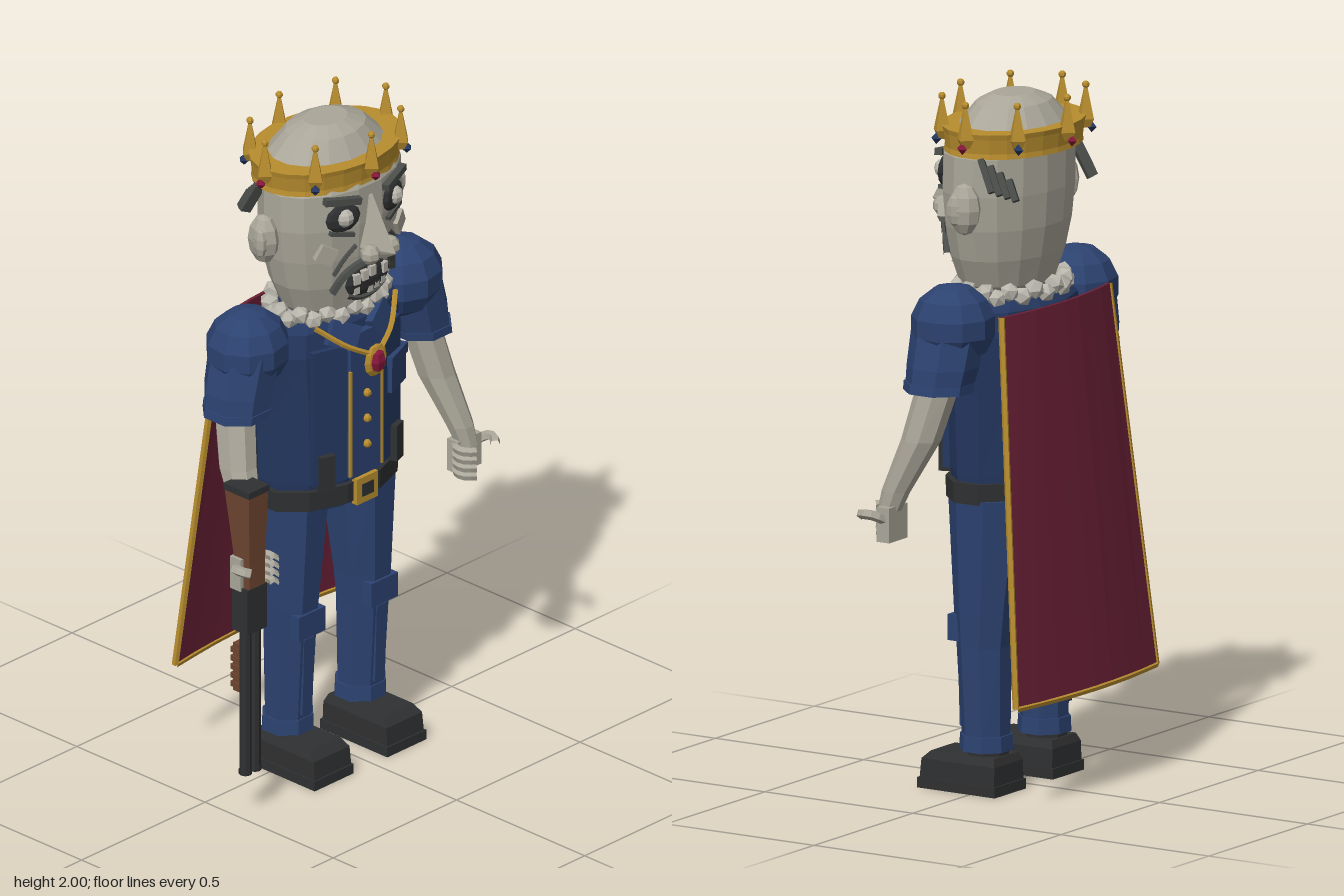
import * as THREE from 'three';

const mat = (name, color, extra = {}) => {
  const m = new THREE.MeshStandardMaterial({ color, flatShading: true, ...extra });
  m.name = name;
  return m;
};

// Rings [x, y, z, rx, rz] from bottom to top, closed at both ends
function loft(rings, n = 8, turn = Math.PI / n) {
  const first = rings[0], last = rings[rings.length - 1];
  const all = [[...first.slice(0, 3), 0, 0], ...rings, [...last.slice(0, 3), 0, 0]];
  const pos = [], idx = [];
  all.forEach(([x, y, z, rx, rz], r) => {
    for (let i = 0; i < n; i++) {
      const a = (i / n) * Math.PI * 2 + turn;
      pos.push(x + Math.cos(a) * rx, y, z + Math.sin(a) * rz);
      if (r === all.length - 1) continue;
      const p0 = r * n + i, p1 = r * n + (i + 1) % n;
      if (r > 0) idx.push(p0, p0 + n, p1);
      if (r === 0) idx.push(p0 + n, p1 + n, p1);
      else if (r < all.length - 2) idx.push(p0 + n, p1 + n, p1);
    }
  });
  const g = new THREE.BufferGeometry();
  g.setAttribute('position', new THREE.Float32BufferAttribute(pos, 3));
  g.setIndex(idx);
  const flat = g.toNonIndexed();
  flat.computeVertexNormals();
  return flat;
}

const box = (w, h, d) => new THREE.BoxGeometry(w, h, d);
const ball = (r, w = 8, h = 6) => new THREE.SphereGeometry(r, w, h);
const tube = (pts, r, seg = 8, sides = 5) => new THREE.TubeGeometry(
  new THREE.CatmullRomCurve3(pts.map(p => new THREE.Vector3(...p))), seg, r, sides);

export function createModel() {
  const root = new THREE.Group();
  root.name = 'crownedFigure';
  const skin = mat('paleSkin', 0xaaa699), bone = mat('bone', 0xb9b6ac);
  const blue = mat('blueCloth', 0x2c4270), navy = mat('navyCloth', 0x243760);
  const gold = mat('gold', 0xb88d2e), crimson = mat('crimsonCloth', 0x6a2036, { side: THREE.DoubleSide });
  const ruby = mat('ruby', 0x86163a), dark = mat('darkMetalAndLeather', 0x2f3031);
  const wood = mat('wood', 0x6d4530), hair = mat('greyHair', 0x4a4d4a);

  const body = new THREE.Group();
  body.name = 'body';
  body.position.x = -0.012;
  root.add(body);
  const add = (name, geo, m, p = [0, 0, 0], rot = [0, 0, 0], s = [1, 1, 1]) => {
    const mesh = new THREE.Mesh(geo, m);
    mesh.name = name;
    mesh.position.set(...p);
    mesh.rotation.set(...rot);
    mesh.scale.set(...s);
    body.add(mesh);
    return mesh;
  };

  // Head
  const headRings = [
    [0, 1.415, 0.02, 0.13, 0.1], [0, 1.45, 0.022, 0.17, 0.12], [0, 1.53, 0.02, 0.205, 0.142],
    [0, 1.62, 0.018, 0.226, 0.157], [0, 1.72, 0.017, 0.238, 0.164], [0, 1.83, 0.015, 0.236, 0.163],
    [0, 1.905, 0, 0.188, 0.14], [0, 1.962, 0, 0.13, 0.098], [0, 1.985, 0, 0.07, 0.055]];
  add('head', loft(headRings, 16), skin);
  add('neck', loft([[0, 1.36, 0, 0.12, 0.09], [0, 1.44, 0.01, 0.12, 0.09]], 10), skin);
  // Front depth of the face at a given place
  const faceZ = (x, y) => {
    const i = Math.max(1, headRings.findIndex(r => r[1] >= y));
    const a = headRings[i - 1], b = headRings[i], t = (y - a[1]) / (b[1] - a[1]);
    const [cz, rx, rz] = [2, 3, 4].map(k => a[k] + (b[k] - a[k]) * t);
    return cz + rz * Math.sqrt(Math.max(0, 1 - (x / rx) ** 2));
  };
  const onFace = (name, geo, m, x, y, out = 0, tilt = 0, s) =>
    add(name, geo, m, [x, y, faceZ(x, y) + out], [0, x * 3, tilt], s);

  // Face
  add('nose', loft([[0, 1.615, 0.17, 0.03, 0.06], [0, 1.645, 0.17, 0.042, 0.105],
    [0, 1.80, 0.165, 0.014, 0.02]], 4, 0), skin);
  onFace('mouth', ball(1, 10, 6), dark, 0, 1.535, 0, 0, [0.09, 0.05, 0.018]);
  for (let i = -2; i <= 2; i++) {
    if (i !== 1) onFace('upperTooth', box(0.021, 0.03, 0.014), bone, i * 0.028, 1.563 - Math.abs(i) * 0.006, 0.015);
    if (i !== -1) onFace('lowerTooth', box(0.02, 0.022, 0.014), bone, i * 0.026, 1.505 + Math.abs(i) * 0.004, 0.015);
  }
  const arc = pts => pts.map(([x, y]) => [x, y, faceZ(x, y) + 0.012]);
  add('moustache', tube(arc([[-0.12, 1.52], [-0.09, 1.575], [-0.035, 1.6], [0, 1.592],
    [0.035, 1.6], [0.09, 1.575], [0.12, 1.52]]), 0.013, 16), hair);
  add('lowerLip', tube(arc([[-0.075, 1.5], [-0.03, 1.483], [0.03, 1.483], [0.075, 1.5]]), 0.01), hair);
  for (const s of [1, -1]) {
    onFace('eyeSocket', ball(1, 10, 6), dark, s * 0.1, 1.757, 0, 0, [0.056, 0.044, 0.016]);
    onFace('eye', ball(0.028, 8, 6), bone, s * 0.1, 1.76, 0.006);
    onFace('brow', box(0.115, 0.02, 0.022), hair, s * 0.105, 1.812, 0.006, s * 0.16);
    onFace('eyeBag', box(0.08, 0.012, 0.014), hair, s * 0.105, 1.708, 0.002, s * 0.25);
    onFace('nostril', ball(0.03, 7, 5), skin, s * 0.04, 1.637, 0.04);
    onFace('cheek', box(0.055, 0.05, 0.025), skin, s * 0.145, 1.65, 0, s * 0.5);
    add('cheekFold', tube(arc([[s * 0.065, 1.665], [s * 0.1, 1.63], [s * 0.125, 1.58]]), 0.007), hair);
    add('ear', ball(1, 8, 6), skin, [s * 0.25, 1.69, 0], [0, 0, 0], [0.04, 0.075, 0.05]);
    add('innerEar', ball(1, 6, 5), skin, [s * 0.28, 1.69, 0.015], [0, 0, 0], [0.015, 0.045, 0.025]);
    for (let i = 0; i < 4; i++) {
      add('sideHair', box(0.03, 0.1 - i * 0.012, 0.018), hair,
        [s * (0.232 - i * 0.014), 1.79 - i * 0.014, -0.062 - i * 0.02], [0.4, s * 0.5, s * 0.15]);
    }
  }

  // Crown
  add('crownBand', loft([[0, 1.835, 0, 0.243, 0.173], [0, 1.85, 0, 0.24, 0.171], [0, 1.892, 0, 0.246, 0.176],
    [0, 1.907, 0, 0.25, 0.18]], 24), gold);
  for (let i = 0; i < 8; i++) {
    const a = (i * Math.PI) / 4, x = Math.sin(a) * 0.245, z = Math.cos(a) * 0.18;
    add('crownSpike', loft([[x, 1.865, z, 0.014, 0.014], [x, 1.89, z, 0.028, 0.028], [x, 1.98, z, 0.006, 0.006]], 4, 0), gold);
    add('crownBead', ball(0.011, 6, 5), gold, [x, 1.988, z]);
    add('crownJewel', new THREE.OctahedronGeometry(0.017), i % 2 ? navy : ruby, [x * 1.07, 1.866, z * 1.09]);
  }

  // Torso and ruff
  add('torso', loft([[0, 0.82, -0.005, 0.23, 0.13], [0, 0.92, 0, 0.24, 0.145], [0, 1.15, 0, 0.25, 0.15],
    [0, 1.32, 0, 0.265, 0.148], [0, 1.39, 0, 0.25, 0.138], [0, 1.425, 0, 0.18, 0.11]], 12), navy);
  for (let i = 0; i < 26; i++) {
    const a = (i / 26) * Math.PI * 2;
    add('ruffBead', new THREE.IcosahedronGeometry(0.029), bone,
      [Math.cos(a) * 0.19, 1.425 + (i % 2) * 0.016, 0.005 + Math.sin(a) * 0.128], [a, a * 2, 0]);
  }
  add('shirtFront', box(0.12, 0.45, 0.025), blue, [0, 1.14, 0.146]);
  for (const y of [1.17, 1.09, 1.01]) add('button', ball(0.013, 6, 5), gold, [0, y, 0.163]);
  for (const s of [1, -1]) {
    add('jacketPanel', box(0.11, 0.42, 0.022), navy, [s * 0.122, 1.13, 0.128], [0, s * 0.3, 0]);
    add('frontTrim', box(0.008, 0.33, 0.008), gold, [s * 0.063, 1.09, 0.158]);
    add('lapel', box(0.095, 0.075, 0.025), blue, [s * 0.075, 1.37, 0.14], [-0.25, s * 0.25, s * 0.5]);
    add('beltPouch', box(0.045, 0.11, 0.035), dark, [s * 0.14, 0.96, 0.135], [0, s * 0.35, 0]);
    add('backPouch', box(0.07, 0.13, 0.03), dark, [s * 0.12, 0.91, -0.135], [0, -s * 0.3, 0]);
    add('chain', tube([[s * 0.165, 1.415, 0.115], [s * 0.09, 1.35, 0.17], [s * 0.02, 1.31, 0.195]], 0.008), gold);
  }
  add('chestPocket', box(0.105, 0.095, 0.02), blue, [0.15, 1.175, 0.13], [0, 0.38, 0]);
  add('pocketFlap', box(0.115, 0.03, 0.028), blue, [0.15, 1.225, 0.13], [0, 0.38, 0]);
  add('pendantFrame', ball(1, 8, 6), gold, [0, 1.285, 0.196], [0, 0, 0], [0.045, 0.05, 0.014]);
  add('pendantJewel', ball(1, 6, 4), ruby, [0, 1.285, 0.206], [0, 0, 0], [0.028, 0.035, 0.018]);

  // Belt
  add('belt', loft([[0, 0.84, 0, 0.253, 0.155], [0, 0.9, 0, 0.255, 0.157]], 12), dark);
  add('buckle', box(0.085, 0.08, 0.02), gold, [0, 0.87, 0.155]);
  add('buckleCentre', box(0.045, 0.038, 0.008), dark, [0, 0.87, 0.164]);

  // Limbs
  for (const s of [1, -1]) {
    const lx = s * 0.147;
    add('trouserLeg', loft([[lx, 0.12, -0.005, 0.07, 0.068], [lx, 0.42, 0.002, 0.078, 0.08],
      [lx, 0.52, 0.0, 0.084, 0.09], [s * 0.136, 0.85, -0.01, 0.112, 0.122]]), blue);
    add('trouserCuff', loft([[lx, 0.12, -0.005, 0.08, 0.077], [lx, 0.165, -0.005, 0.077, 0.075]]), blue);
    add('kneePad', box(0.108, 0.075, 0.05), blue, [lx, 0.468, 0.065]);
    add('shinSeam', box(0.04, 0.24, 0.012), blue, [lx, 0.3, 0.069], [0.03, 0, 0]);
    add('ankle', loft([[lx, 0.08, -0.01, 0.06, 0.06], [lx, 0.13, -0.01, 0.06, 0.06]]), dark);
    add('shoeSole', box(0.158, 0.03, 0.262), dark, [lx, 0.015, 0.045]);
    add('shoe', loft([[lx, 0.03, 0.045, 0.105, 0.178], [lx, 0.085, 0.043, 0.102, 0.174],
      [lx, 0.108, 0.035, 0.086, 0.15]], 4), dark);

    add('puffShoulder', ball(0.127, 10, 7), blue, [s * 0.312, 1.37, -0.003], [0, 0.2, 0], [1, 0.95, 0.95]);
    add('sleeve', loft([[s * 0.368, 1.195, 0.008, 0.092, 0.098], [s * 0.355, 1.26, 0.003, 0.1, 0.105],
      [s * 0.325, 1.38, 0, 0.1, 0.11]]), blue);
    add('sleeveCuff', loft([[s * 0.37, 1.19, 0.008, 0.097, 0.103], [s * 0.366, 1.215, 0.008, 0.097, 0.103]]), blue);
    const dy = s < 0 ? -0.05 : 0;
    add('arm', loft([[s * 0.437, 0.84 + dy, 0.13, 0.032, 0.034], [s * 0.428, 0.9, 0.112, 0.04, 0.042],
      [s * 0.402, 1.05, 0.045, 0.055, 0.058], [s * 0.37, 1.23, 0, 0.058, 0.064]]), skin);
    add('palm', box(0.095, 0.1, 0.042), skin, [s * 0.44, 0.81 + dy, 0.118]);
    for (let i = 0; i < 4; i++) {
      const y = 0.77 + i * 0.025 + dy;
      add('finger', tube([[s * 0.41, y, 0.115], [s * 0.385, y, 0.145], [s * 0.388, y, 0.175], [s * 0.41, y, 0.195]], 0.0135, 6), skin);
    }
    add('thumb', tube([[s * 0.47, 0.82 + dy, 0.115], [s * 0.508, 0.84 + dy, 0.135],
      [s * 0.513, 0.842 + dy, 0.165], [s * 0.495, 0.835 + dy, 0.185]], 0.015, 6), skin);
  }

  // Double-barrelled gun held muzzle down
  const gx = -0.445;
  add('gunStock', loft([[gx, 0.7, 0.135, 0.045, 0.038], [gx, 0.8, 0.133, 0.045, 0.042],
    [gx, 1.015, 0.12, 0.055, 0.068]], 4), wood);
  add('gunButt', box(0.082, 0.02, 0.1), dark, [gx, 1.02, 0.12]);
  add('gunReceiver', box(0.078, 0.14, 0.062), dark, [gx, 0.65, 0.132]);
  add('triggerGuard', new THREE.TorusGeometry(0.03, 0.006, 5, 10), dark, [gx, 0.7, 0.098], [0, Math.PI / 2, 0]);
  for (const s of [1, -1]) {
    add('gunBarrel', new THREE.CylinderGeometry(0.017, 0.017, 0.46, 8), dark, [gx + s * 0.019, 0.36, 0.135]);
    add('muzzleRing', new THREE.CylinderGeometry(0.019, 0.019, 0.015, 8), dark, [gx + s * 0.019, 0.137, 0.135]);
  }
  add('gunForend', box(0.05, 0.15, 0.04), wood, [gx, 0.455, 0.112]);
  for (let i = 0; i < 5; i++) add('forendRidge', box(0.058, 0.016, 0.045), wood, [gx, 0.4 + i * 0.027, 0.108]);

  // Cape
  const lerp = THREE.MathUtils.lerp;
  const capePoint = (u, v) => [u * lerp(0.355, 0.272, v), lerp(0.3, 1.4, v), lerp(-0.272, -0.168, v) + 0.028 * u * u];
  const cape = new THREE.BoxGeometry(2, 1, 0.01, 8, 1, 1), cp = cape.attributes.position;
  for (let i = 0; i < cp.count; i++) {
    const [x, y, z] = capePoint(cp.getX(i), cp.getY(i) + 0.5);
    cp.setXYZ(i, x, y, z + cp.getZ(i));
  }
  cape.computeVertexNormals();
  add('cape', cape, crimson);
  for (const s of [1, -1]) add('capeSideTrim', tube([capePoint(s, 0), capePoint(s, 0.5), capePoint(s, 1)], 0.01, 4), gold);
  add('capeHemTrim', tube([-1, -0.5, 0, 0.5, 1].map(u => capePoint(u, 0)), 0.01, 8), gold);
  return root;
}
